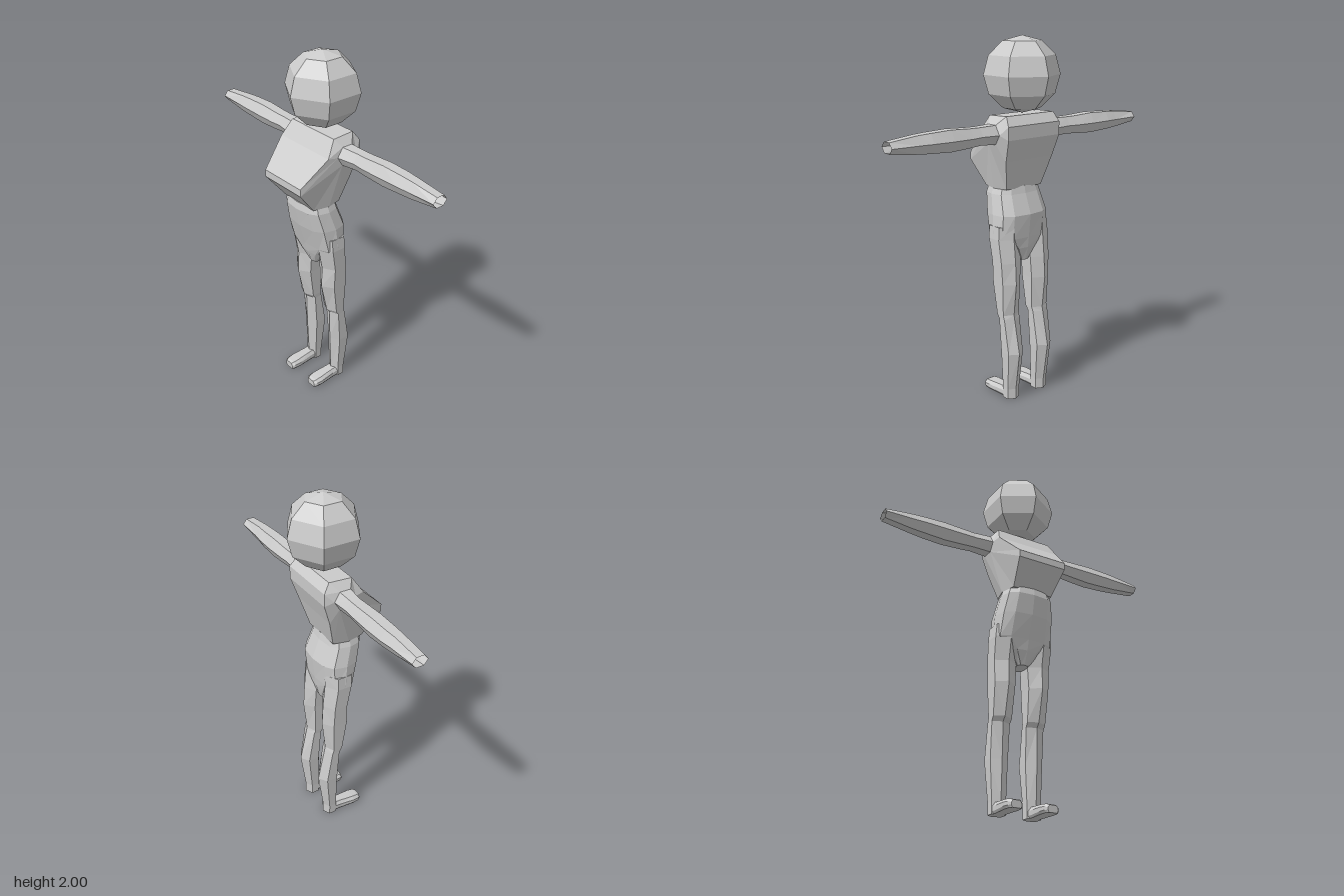
import * as THREE from 'three';

const material = new THREE.MeshStandardMaterial({ color: 0xcccccc, flatShading: true, side: THREE.DoubleSide });

// Skin through closed rings of equal point count, optionally capping the ends
function loft(name, rings, capStart = false, capEnd = false) {
  const n = rings[0].length;
  const index = [];
  for (let r = 0; r < rings.length - 1; r++) {
    for (let i = 0; i < n; i++) {
      const a = r * n + i, b = r * n + (i + 1) % n;
      index.push(a, b, a + n, b, b + n, a + n);
    }
  }
  const last = (rings.length - 1) * n;
  for (let i = 1; i < n - 1; i++) {
    if (capStart) index.push(0, i + 1, i);
    if (capEnd) index.push(last, last + i, last + i + 1);
  }
  const indexed = new THREE.BufferGeometry();
  indexed.setAttribute('position', new THREE.Float32BufferAttribute(rings.flat(2), 3));
  indexed.setIndex(index);
  const geometry = indexed.toNonIndexed();
  geometry.computeVertexNormals();
  const mesh = new THREE.Mesh(geometry, material);
  mesh.name = name;
  return mesh;
}

// Horizontal ring running from the front vertex round to +x
function flatRing(n, y, x0, x1, zFront, zBack, power = 1) {
  const shape = v => Math.sign(v) * Math.abs(v) ** power;
  const rx = (x1 - x0) / 2 / (n === 6 ? Math.sin(Math.PI / 3) : 1);
  return Array.from({ length: n }, (_, i) => {
    const a = i / n * Math.PI * 2;
    return [(x0 + x1) / 2 + rx * shape(Math.sin(a)), y,
      (zFront + zBack) / 2 + (zFront - zBack) / 2 * shape(Math.cos(a))];
  });
}

// Six-sided arm ring in a plane of constant x, vertex to the front
function armRing(x, y, z, ry, rz) {
  return Array.from({ length: 6 }, (_, i) => {
    const a = i / 6 * Math.PI * 2;
    return [x, y + ry * Math.sin(a) / Math.sin(Math.PI / 3), z + rz * Math.cos(a)];
  });
}

function createHead() {
  const geometry = new THREE.SphereGeometry(0.205, 6, 6);
  geometry.rotateY(Math.PI / 6 * 3);
  geometry.scale(1, 0.2 / 0.205, 1);
  const head = new THREE.Mesh(geometry, material);
  head.name = 'head';
  head.position.set(0, 1.8, -0.03);
  return head;
}

// Torso skinned sideways between the two open shoulder rings
function createTorso() {
  // x, y, z and the shoulder vertex each outline point joins
  const outline = [
    [0.19, 1.51, 0.09, 0], [0.165, 1.595, 0.035, 1], [0.16, 1.6, -0.095, 2],
    [0.175, 1.55, -0.13, 3], [0.175, 1.48, -0.13, 3], [0.16, 1.36, -0.09, 4],
    [0.12, 1.2, -0.045, 4], [0.14, 1.2, 0.04, 5], [0.12, 1.2, 0.13, 5],
    [0.145, 1.33, 0.235, 5], [0.145, 1.37, 0.235, 0],
  ];
  const shoulder = armRing(0.2, 1.505, -0.025, 0.05, 0.062);
  const half = [outline.map(p => shoulder[p[3]]), outline.map(p => p.slice(0, 3))];
  const mirrored = half.map(ring => ring.map(([x, y, z]) => [-x, y, z])).reverse();
  return loft('torso', [...half, ...mirrored]);
}

// Pelvis narrowing to the crotch: y, half width, front z, back z
function createPelvis() {
  const rows = [
    [1.21, 0.135, 0.145, -0.05], [1.17, 0.15, 0.152, -0.06], [1.06, 0.168, 0.13, -0.102],
    [0.93, 0.175, 0.09, -0.088], [0.87, 0.1, 0.075, -0.08], [0.795, 0.035, 0.045, -0.06],
  ];
  return loft('pelvis', rows.map(([y, w, f, b]) => flatRing(12, y, -w, w, f, b, 0.75)), true, true);
}

function createArm(side) {
  // x, y, z, half height, half depth
  const rows = [
    [0.2, 1.505, -0.025, 0.05, 0.062], [0.3, 1.507, -0.03, 0.046, 0.053],
    [0.36, 1.505, -0.03, 0.049, 0.056], [0.48, 1.505, -0.032, 0.055, 0.058],
    [0.6, 1.506, -0.032, 0.05, 0.056], [0.67, 1.506, -0.03, 0.046, 0.05],
    [0.83, 1.507, -0.03, 0.028, 0.045],
  ];
  return loft(side > 0 ? 'leftArm' : 'rightArm', rows.map(([x, ...rest]) => armRing(side * x, ...rest)));
}

function createLeg(side) {
  // y, inner x, outer x, front z, back z
  const rows = [
    [1.0, 0.03, 0.17, 0.085, -0.085], [0.93, 0.03, 0.175, 0.08, -0.085],
    [0.8, 0.035, 0.17, 0.055, -0.098], [0.68, 0.042, 0.165, 0.06, -0.105],
    [0.5, 0.048, 0.158, 0.02, -0.085], [0.475, 0.05, 0.157, 0, -0.09],
    [0.28, 0.053, 0.155, -0.005, -0.132], [0.06, 0.062, 0.144, -0.015, -0.1],
    [0, 0.062, 0.144, -0.015, -0.1],
  ];
  const rings = rows.map(([y, inner, outer, f, b]) => flatRing(6, y, side * inner, side * outer, f, b));
  return loft(side > 0 ? 'leftLeg' : 'rightLeg', rings, true, true);
}

function createFoot(side) {
  // z, half width, height of the upper face
  const rows = [[-0.07, 0.036, 0.06], [0, 0.038, 0.056], [0.09, 0.046, 0.05], [0.125, 0.042, 0.045], [0.14, 0.03, 0.038]];
  const rings = rows.map(([z, w, h]) => [
    [-w, 0.012, z], [-w * 0.8, 0, z], [w * 0.8, 0, z], [w, 0.012, z],
    [w, h * 0.65, z], [w * 0.65, h, z], [-w * 0.65, h, z], [-w, h * 0.65, z],
  ].map(([x, y, d]) => [x + side * 0.104, y, d]));
  return loft(side > 0 ? 'leftFoot' : 'rightFoot', rings, true, true);
}

export function createModel() {
  const model = new THREE.Group();
  model.name = 'figure';
  model.add(createHead(), createTorso(), createPelvis());
  for (const side of [1, -1]) model.add(createArm(side), createLeg(side), createFoot(side));
  return model;
}
